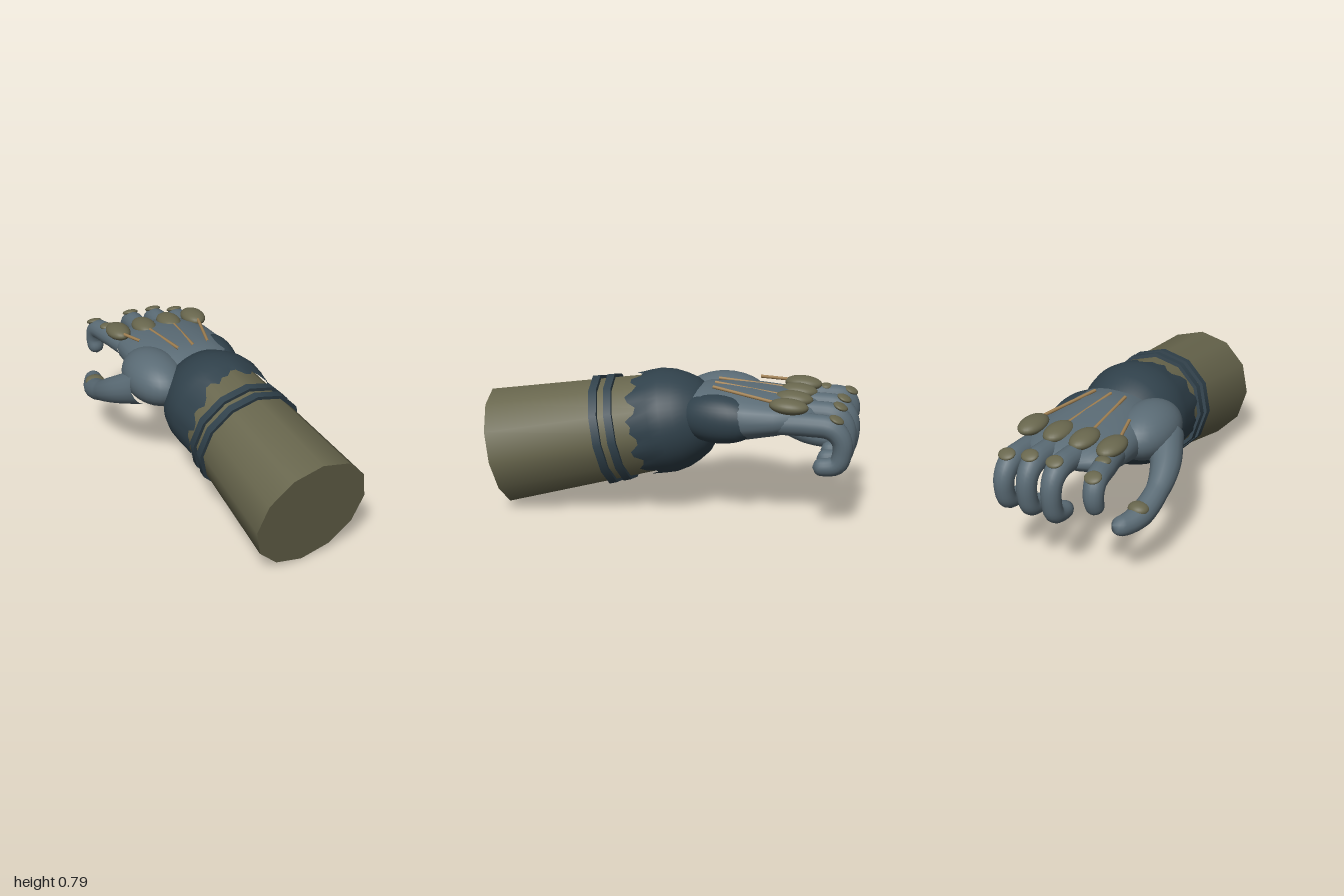
import * as THREE from 'three';

const mat = (name, color) => {
  const m = new THREE.MeshStandardMaterial({ color });
  m.name = name;
  return m;
};

// Smooth skin over a list of rings (arrays of Vector3, equal length)
function skin(rings) {
  const n = rings[0].length, pos = [], idx = [];
  rings.forEach(r => r.forEach(p => pos.push(p.x, p.y, p.z)));
  for (let i = 0; i < rings.length - 1; i++) {
    for (let j = 0; j < n; j++) {
      const k = (j + 1) % n;
      const a = i * n + j, b = i * n + k, c = a + n, d = b + n;
      idx.push(a, b, c, b, d, c);
    }
  }
  const g = new THREE.BufferGeometry();
  g.setAttribute('position', new THREE.Float32BufferAttribute(pos, 3));
  g.setIndex(idx);
  g.computeVertexNormals();
  return g;
}

// Rounded tube through [x, y, z, radius] points
function digit(points, steps = 40, sides = 16) {
  const curve = new THREE.CatmullRomCurve3(points.map(p => new THREE.Vector3(p[0], p[1], p[2])));
  const { normals, binormals } = curve.computeFrenetFrames(steps, false);
  const rings = [];
  const length = curve.getLength();
  for (let i = 0; i <= steps; i++) {
    const u = i / steps, t = curve.getUtoTmapping(u) * (points.length - 1);
    const k = Math.min(Math.floor(t), points.length - 2);
    let r = THREE.MathUtils.lerp(points[k][3], points[k + 1][3], t - k);
    const left = Math.min(1, (1 - u) * length / r); // round off the tip
    r *= Math.max(0.01, Math.sqrt(1 - (1 - left) ** 2));
    const c = curve.getPointAt(u), ring = [];
    for (let j = 0; j < sides; j++) {
      const a = j / sides * Math.PI * 2;
      ring.push(c.clone().addScaledVector(normals[i], r * Math.cos(a)).addScaledVector(binormals[i], r * Math.sin(a)));
    }
    rings.push(ring);
  }
  return skin(rings);
}

export function createModel() {
  const olive = mat('olive cloth', 0x68664d);
  const blue = mat('blue grey glove', 0x5a6b75);
  const dark = mat('dark slate cuff', 0x30414b);
  const tan = mat('tan cord', 0xa08052);

  const model = new THREE.Group();
  model.name = 'glovedForearm';
  const add = (name, geo, material, parent = model) => {
    const m = new THREE.Mesh(geo, material);
    m.name = name;
    parent.add(m);
    return m;
  };
  const ellipsoid = (name, material, c, r) => {
    const m = add(name, new THREE.SphereGeometry(1, 28, 18), material);
    m.position.set(...c);
    m.scale.set(...r);
    return m;
  };

  // Arm frame: local y runs from the cut end to the wrist
  const end = new THREE.Vector3(0.15, 0.318, 0.93);
  const axis = new THREE.Vector3(-0.1, 0.192, -0.93).normalize();
  const arm = new THREE.Group();
  arm.name = 'arm';
  arm.position.copy(end);
  arm.quaternion.setFromUnitVectors(new THREE.Vector3(0, 1, 0), axis);
  model.add(arm);
  const armRadius = h => 0.325 - 0.0645 * h;
  const turn = 6.6 * Math.PI / 180;

  // Sleeve and its two bands
  add('sleeve', new THREE.CylinderGeometry(armRadius(0.95), armRadius(0), 0.95, 12, 1, false, turn), olive, arm).position.y = 0.475;
  for (const h of [0.6, 0.68]) {
    const r = armRadius(h) + 0.021;
    add('sleeveBand', new THREE.CylinderGeometry(r - 0.003, r, 0.042, 12, 1, false, turn), dark, arm).position.y = h;
  }

  // Wrist cuff with a torn edge
  const jag = [0, 0.03, 0.028, -0.02, -0.018, 0.02, 0.005, -0.03, -0.01, 0.035, 0.03, -0.015, 0.01];
  const cuffRows = [null, [0.89, 0.283], [0.95, 0.284], [1.02, 0.268], [1.08, 0.24], [1.14, 0.203], [1.2, 0.13], [1.235, 0.002]];
  const sides = 52;
  add('cuff', skin(cuffRows.map(row => Array.from({ length: sides }, (_, j) => {
    const a = j / sides * Math.PI * 2, s = Math.sin(a), c = Math.cos(a);
    const h = row ? row[0] : 0.75 + 0.07 * c * c + 0.03 * s + jag[j % jag.length];
    const r = row ? row[1] : armRadius(h) + 0.006;
    return new THREE.Vector3(r * s * (row ? 1.03 : 1), h, r * c);
  }))), dark, arm);

  // Palm from elliptical sections: z, centre x, centre y, half width, half height
  const palm = [
    [-0.05, 0.04, 0.54, 0.19, 0.14], [-0.2, 0.04, 0.585, 0.235, 0.145], [-0.32, 0.03, 0.588, 0.265, 0.142],
    [-0.45, 0.015, 0.59, 0.285, 0.132], [-0.6, 0.005, 0.598, 0.28, 0.108], [-0.7, 0, 0.603, 0.25, 0.083],
    [-0.77, 0, 0.605, 0.2, 0.055], [-0.81, 0, 0.605, 0.12, 0.025], [-0.815, 0, 0.605, 0.002, 0.002]];
  add('palm', skin(palm.map(([z, x, y, rx, ry]) => Array.from({ length: 32 }, (_, j) => {
    const a = j / 32 * Math.PI * 2, c = Math.cos(a), s = Math.sin(a);
    const p = v => Math.sign(v) * Math.abs(v) ** 0.85;
    return new THREE.Vector3(x + rx * p(c), y - ry * p(s), z);
  }))), blue);
  ellipsoid('thumbBall', blue, [-0.2, 0.59, -0.25], [0.16, 0.142, 0.24]).rotation.y = 0.08;
  ellipsoid('sidePad', dark, [0.195, 0.58, -0.29], [0.115, 0.13, 0.23]).rotation.y = -0.12;

  // Thumb
  add('thumb', digit([
    [-0.28, 0.56, -0.22, 0.1], [-0.375, 0.48, -0.38, 0.078], [-0.408, 0.41, -0.52, 0.06],
    [-0.405, 0.352, -0.67, 0.063], [-0.375, 0.338, -0.78, 0.053], [-0.345, 0.355, -0.835, 0.046]]), blue);
  ellipsoid('thumbKnuckleCap', olive, [-0.4, 0.39, -0.68], [0.055, 0.033, 0.05]);
  ellipsoid('thumbJointCap', olive, [-0.375, 0.455, -0.48], [0.035, 0.02, 0.03]);

  // Three curled fingers: x and lift of the upper part
  for (const [x, lift, name] of [[-0.075, 0.035, 'middleFinger'], [0.07, 0.03, 'ringFinger'], [0.21, 0, 'littleFinger']]) {
    add(name, digit([
      [x, 0.585 + lift, -0.6, 0.058], [x, 0.59 + lift, -0.78, 0.06], [x, 0.58 + lift, -0.89, 0.06],
      [x, 0.525 + lift, -0.943, 0.054], [x, 0.45, -0.95, 0.05], [x, 0.387, -0.925, 0.05], [x, 0.365, -0.8, 0.045]]), blue);
    const cap = ellipsoid(name + 'Cap', olive, [x, 0.63 + lift, -0.915], [0.046, 0.016, 0.04]);
    cap.rotation.x = -0.4;
  }

  // Raised index finger
  add('indexFinger', digit([
    [-0.22, 0.61, -0.62, 0.06], [-0.265, 0.62, -0.78, 0.06], [-0.295, 0.605, -0.9, 0.054],
    [-0.302, 0.54, -0.928, 0.05], [-0.3, 0.45, -0.9, 0.045]]), blue);
  ellipsoid('indexJointCap', olive, [-0.27, 0.668, -0.79], [0.04, 0.018, 0.035]);
  ellipsoid('indexTipCap', olive, [-0.3, 0.648, -0.925], [0.045, 0.016, 0.04]).rotation.x = -0.4;

  // Knuckle guards and the cords running back from them: guard x, cord end x, y, z
  for (const [x, ex, ey, ez] of [[-0.245, -0.2, 0.718, -0.44], [-0.085, -0.052, 0.732, -0.24], [0.07, 0.037, 0.732, -0.24], [0.225, 0.128, 0.732, -0.25]]) {
    ellipsoid('knuckleGuard', olive, [x, 0.685, -0.67], [0.066, 0.04, 0.102]).rotation.x = -0.05;
    const path = new THREE.LineCurve3(new THREE.Vector3(x, 0.7, -0.6), new THREE.Vector3(ex, ey, ez));
    add('cord', new THREE.TubeGeometry(path, 1, 0.009, 8), tan);
  }
  return model;
}
